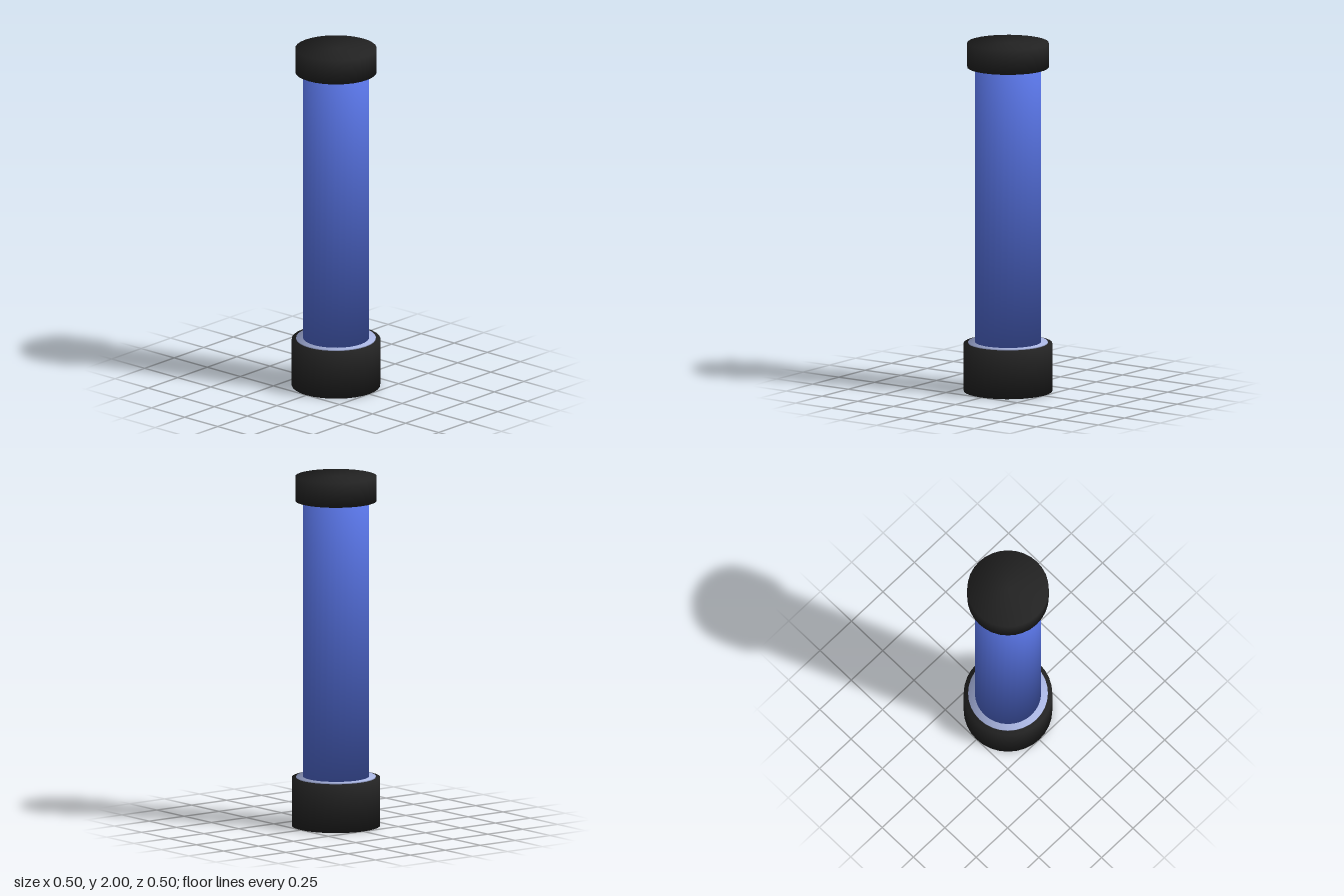
import * as THREE from 'three';

const black = new THREE.MeshStandardMaterial({ color: 0x222222 });
black.name = 'black';
const blue = new THREE.MeshStandardMaterial({ color: 0x5570dd });
blue.name = 'blue';
const paleBlue = new THREE.MeshStandardMaterial({ color: 0xa8b4e0 });
paleBlue.name = 'pale blue';

// Closed cylinder whose rim normals are blended between side and end
function softCylinder(name, radius, bottom, top, material) {
  const geometry = new THREE.CylinderGeometry(radius, radius, top - bottom, 32);
  const { position, normal } = geometry.attributes;
  const n = new THREE.Vector3();
  for (let i = 0; i < position.count; i++) {
    n.fromBufferAttribute(position, i);
    n.y = Math.sign(n.y) * radius;
    n.normalize();
    normal.setXYZ(i, n.x, n.y, n.z);
  }
  const mesh = new THREE.Mesh(geometry, material);
  mesh.name = name;
  mesh.position.y = (bottom + top) / 2;
  return mesh;
}

export function createModel() {
  const model = new THREE.Group();
  model.name = 'cappedTube';
  model.add(
    softCylinder('base', 0.25, 0, 0.275, black),
    // Thin pale ring around the foot of the tube
    softCylinder('collar', 0.225, 0.274, 0.282, paleBlue),
    softCylinder('tube', 0.187, 0.27, 1.87, blue),
    softCylinder('topCap', 0.23, 1.86, 2, black),
  );
  return model;
}
